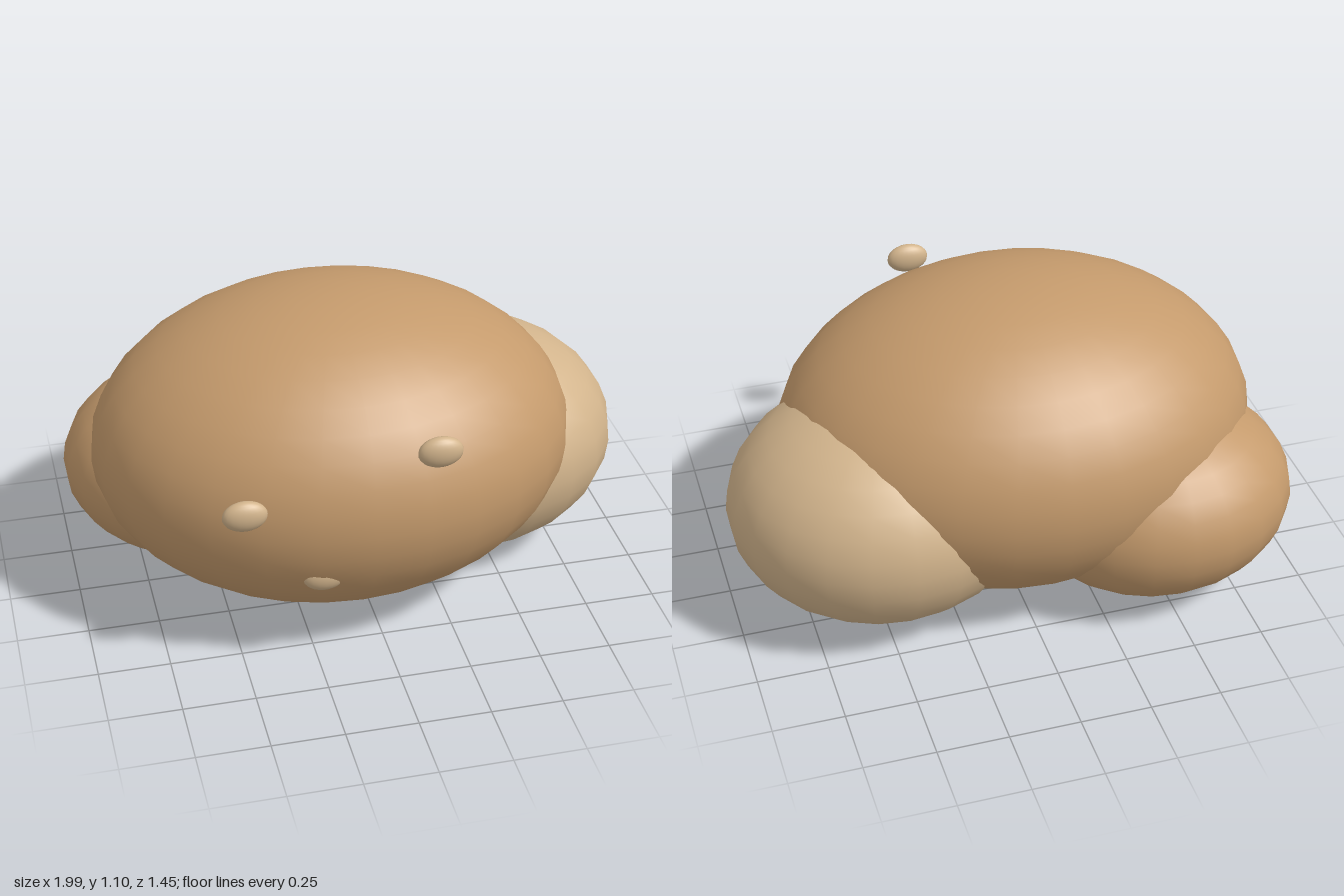
import * as THREE from 'three';

const brown = new THREE.MeshStandardMaterial({ color: 0xc49a6c });
const tan = new THREE.MeshStandardMaterial({ color: 0xd2b48c });

// Smooth ellipsoid from a centre and three radii; the seam turns to the back.
function ellipsoid(name, material, centre, radii, segments, rings) {
  const geometry = new THREE.SphereGeometry(1, segments, rings);
  geometry.rotateY(Math.PI / 2);
  const mesh = new THREE.Mesh(geometry, material);
  mesh.name = name;
  mesh.position.set(...centre);
  mesh.scale.set(...radii);
  return mesh;
}

export function createModel() {
  const model = new THREE.Group();
  model.name = 'lumpyCreature';

  // Large body with two lobes sunk into its sides
  model.add(
    ellipsoid('body', brown, [-0.07, 0.56, 0.015], [0.855, 0.55, 0.695], 28, 20),
    ellipsoid('leftLobe', tan, [0.45, 0.418, -0.12], [0.55, 0.41, 0.505], 22, 16),
    ellipsoid('rightLobe', brown, [-0.5, 0.36, -0.27], [0.5, 0.35, 0.45], 22, 16),
  );

  // Face: two uneven eyes and a nose almost buried in the body
  const features = {
    rightEye: [-0.5, 0.675, 0.64],
    leftEye: [0.14, 0.86, 0.69],
    nose: [-0.235, 0.39, 0.631],
  };
  for (const [name, centre] of Object.entries(features)) {
    model.add(ellipsoid(name, tan, centre, [0.076, 0.055, 0.035], 20, 14));
  }
  return model;
}
